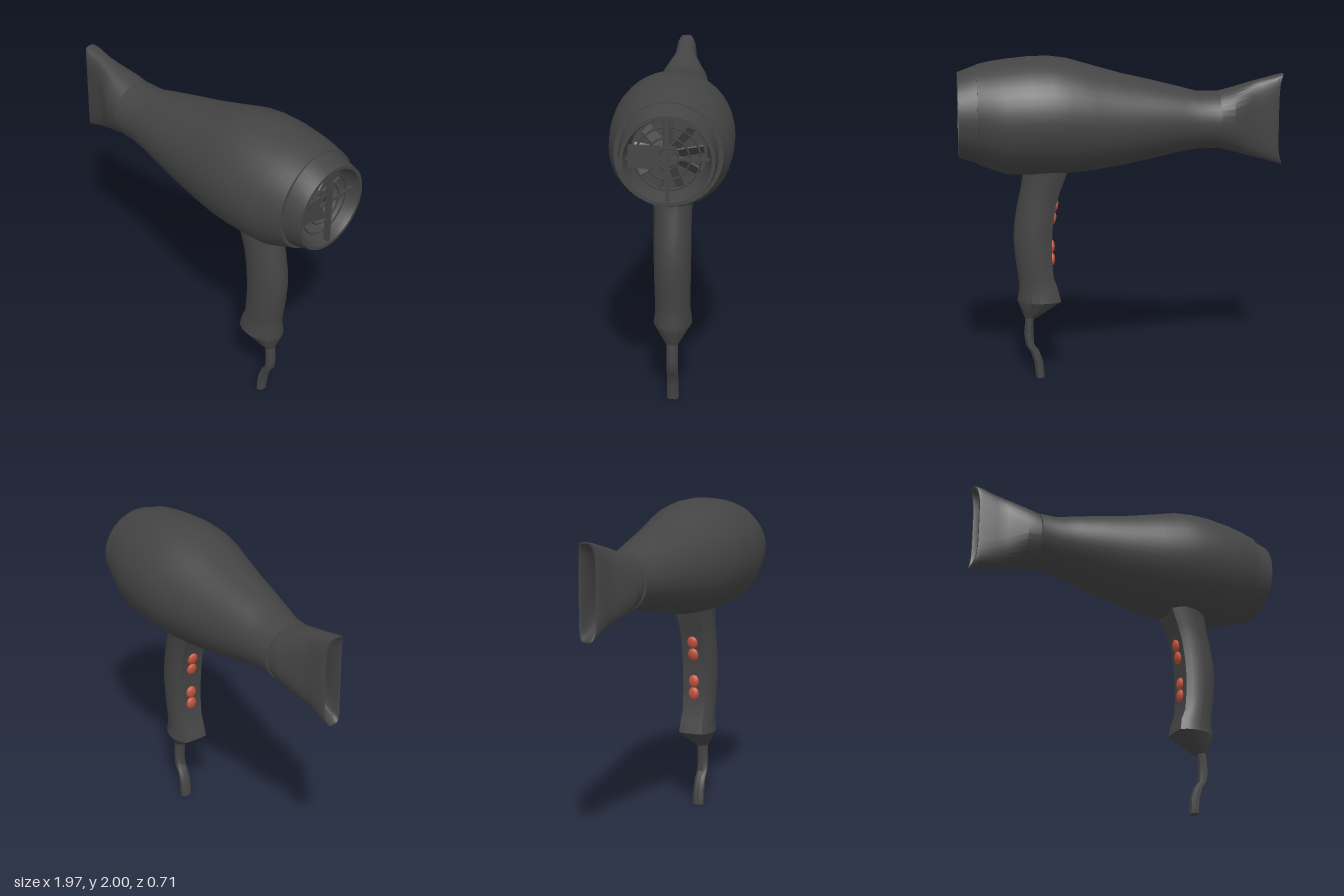
import * as THREE from 'three';
import { toCreasedNormals } from 'three/addons/utils/BufferGeometryUtils.js';

const plastic = new THREE.MeshStandardMaterial({ color: 0x444444, side: THREE.DoubleSide });
plastic.name = 'darkPlastic';
const red = new THREE.MeshStandardMaterial({ color: 0xc0523c });
red.name = 'switchRed';

// Skin through a list of rings (each an array of [x, y, z] of equal length)
function loft(rings, crease = 0.6, capStart = false, capEnd = false) {
  const n = rings[0].length, pos = rings.flat(2), index = [];
  for (let i = 0; i < rings.length - 1; i++) {
    for (let j = 0; j < n; j++) {
      const a = i * n + j, b = i * n + (j + 1) % n;
      index.push(a, b, b + n, a, b + n, a + n);
    }
  }
  for (let j = 1; j < n - 1; j++) {
    const e = (rings.length - 1) * n;
    if (capStart) index.push(0, j + 1, j);
    if (capEnd) index.push(e, e + j, e + j + 1);
  }
  const geo = new THREE.BufferGeometry();
  geo.setAttribute('position', new THREE.Float32BufferAttribute(pos, 3));
  geo.setIndex(index);
  return toCreasedNormals(geo, crease);
}

const soft = (v, e) => Math.sign(v) * Math.abs(v) ** e;

// Ring around the barrel axis; e < 1 squares it off, notch hollows its middle back
function ringX([x, cy, ry, rz, e = 1, notch = 0], n = 40) {
  return Array.from({ length: n }, (_, j) => {
    const a = (j / n) * Math.PI * 2, c = soft(Math.cos(a), e), s = soft(Math.sin(a), e);
    return [x + notch * (1 - Math.abs(c) ** 5), cy + ry * c, rz * s];
  });
}

// Horizontal ring between x0 and x1; flat cuts off the -x side
function ringY([y, x0, x1, rz, flat = 1], n = 20) {
  return Array.from({ length: n }, (_, j) => {
    const a = ((j + 0.5) / n) * Math.PI * 2;
    const c = (Math.max(Math.cos(a), -flat) + flat) / (1 + flat);
    return [x0 + (x1 - x0) * c, y, rz * Math.sin(a)];
  });
}

export function createModel() {
  const model = new THREE.Group();
  const add = (name, geo, mat = plastic, parent = model) => {
    const mesh = new THREE.Mesh(geo, mat);
    mesh.name = name;
    parent.add(mesh);
    return mesh;
  };

  // Barrel: x, centre height, half height, half depth
  add('barrel', loft([
    [-0.585, 1.6, 0.14, 0.14], [-0.585, 1.6, 0.173, 0.175], [-0.46, 1.6, 0.175, 0.18],
    [-0.35, 1.607, 0.198, 0.203], [-0.18, 1.61, 0.238, 0.24], [0, 1.613, 0.277, 0.277],
    [0.18, 1.625, 0.317, 0.315], [0.33, 1.64, 0.346, 0.345], [0.43, 1.645, 0.354, 0.354],
    [0.55, 1.645, 0.355, 0.355], [0.7, 1.64, 0.345, 0.344], [0.79, 1.65, 0.322, 0.322],
    [0.87, 1.657, 0.298, 0.3], [0.87, 1.657, 0.25, 0.25],
  ].map(r => ringX(r))));

  // Rear filter cap with its recess
  add('rearCap', loft([
    [0.85, 1.657, 0.297, 0.275], [0.88, 1.657, 0.291, 0.273], [0.983, 1.655, 0.255, 0.26],
    [0.983, 1.655, 0.235, 0.24], [0.95, 1.655, 0.225, 0.23], [0.8, 1.655, 0.21, 0.21],
    [0.8, 1.655, 0.001, 0.001],
  ].map(r => ringX(r))));

  // Intake grille: crossed bars, rings and fan blades behind them
  const grille = new THREE.Group();
  grille.name = 'intakeGrille';
  grille.position.set(0.93, 1.655, 0);
  model.add(grille);
  add('verticalBar', new THREE.BoxGeometry(0.03, 0.47, 0.024), plastic, grille).position.x = 0.03;
  add('horizontalBar', new THREE.BoxGeometry(0.02, 0.014, 0.46), plastic, grille);
  add('sidePlate', new THREE.BoxGeometry(0.02, 0.13, 0.17), plastic, grille).position.set(0, 0.01, 0.13);
  for (const r of [0.06, 0.12, 0.18]) {
    add('grilleRing', new THREE.TorusGeometry(r, 0.006, 4, 24), plastic, grille).rotation.y = Math.PI / 2;
  }
  for (let i = 0; i < 9; i++) {
    const spoke = new THREE.Group();
    spoke.name = 'fanSpoke';
    spoke.rotation.x = (i / 9) * Math.PI * 2;
    grille.add(spoke);
    const blade = add('fanBlade', new THREE.BoxGeometry(0.008, 0.15, 0.07), plastic, spoke);
    blade.position.set(-0.08, 0.12, 0);
    blade.rotation.y = 0.7;
  }
  const hub = add('fanHub', new THREE.CylinderGeometry(0.06, 0.06, 0.06, 16), plastic, grille);
  hub.rotation.z = Math.PI / 2;
  hub.position.x = -0.08;

  // Flattened concentrator nozzle, from inside the mouth outwards and back to the barrel
  add('nozzle', loft([
    [-0.6, 1.6, 0.14, 0.14], [-0.78, 1.6, 0.2, 0.06, 0.75],
    [-0.95, 1.597, 0.25, 0.042, 0.5, 0.02], [-0.985, 1.596, 0.27, 0.048, 0.5, 0.03],
    [-0.985, 1.596, 0.28, 0.06, 0.5, 0.03], [-0.95, 1.597, 0.271, 0.07, 0.5, 0.015],
    [-0.85, 1.6, 0.244, 0.072, 0.6], [-0.78, 1.6, 0.226, 0.098, 0.7],
    [-0.67, 1.6, 0.194, 0.157, 0.9], [-0.55, 1.6, 0.165, 0.162],
  ].map(r => ringX(r, 32)), 0.5));

  // Curved handle with a flat inner face: y, x range, half depth
  add('handle', loft([
    [1.36, 0.33, 0.6, 0.13, 0.7], [1.29, 0.345, 0.603, 0.122, 0.7], [1.2, 0.38, 0.618, 0.112, 0.7],
    [1.1, 0.41, 0.64, 0.11, 0.7], [0.98, 0.428, 0.66, 0.11, 0.7], [0.88, 0.435, 0.665, 0.109, 0.7],
    [0.76, 0.435, 0.656, 0.107, 0.7], [0.64, 0.425, 0.638, 0.105, 0.7], [0.57, 0.398, 0.634, 0.106, 0.7],
    [0.5, 0.38, 0.648, 0.115, 0.75], [0.39, 0.525, 0.605, 0.042, 0.9],
  ].map(r => ringY(r)), 0.6, true, true));

  // Power cord
  add('cord', loft([
    [0.42, 0.535, 0.6, 0.036], [0.36, 0.548, 0.602, 0.036], [0.28, 0.55, 0.61, 0.036],
    [0.21, 0.545, 0.6, 0.036], [0.17, 0.515, 0.572, 0.036], [0.1, 0.49, 0.55, 0.038],
    [0, 0.483, 0.538, 0.038],
  ].map(r => ringY(r, 8)), 0.5, true, true));

  // Two rocker switches on the flat face, each with a pair of lobes
  for (const [x, y, tilt] of [[0.409, 1.09, 0.2], [0.422, 1.01, 0.2], [0.432, 0.835, 0], [0.431, 0.755, 0]]) {
    const lobe = add('switchLobe', new THREE.SphereGeometry(1, 12, 8), red);
    lobe.scale.set(0.02, 0.042, 0.036);
    lobe.position.set(x, y, 0);
    lobe.rotation.z = tilt;
  }
  return model;
}
